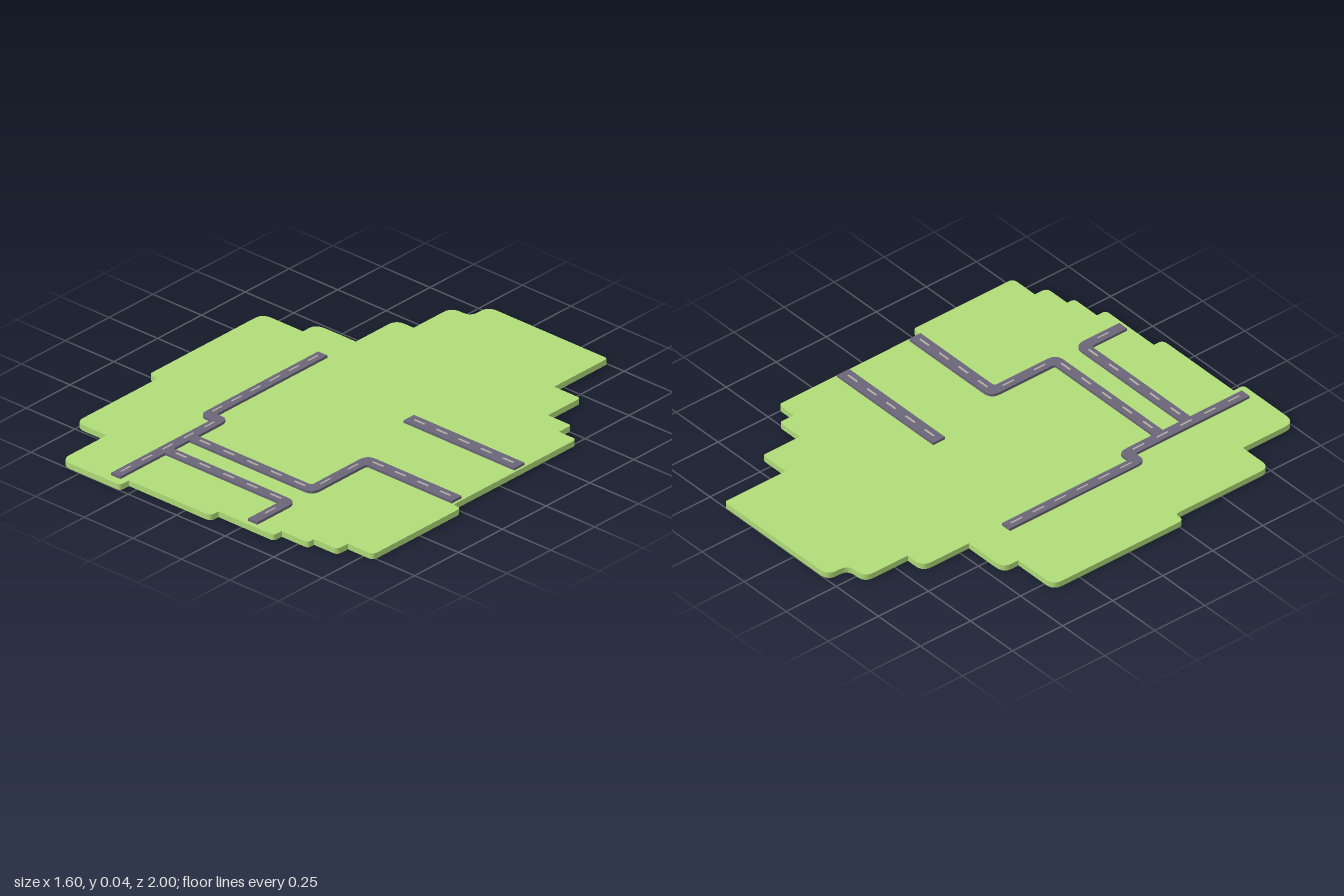
import * as THREE from 'three';

const grass = new THREE.MeshStandardMaterial({ color: 0xb0dc78 });
const asphalt = new THREE.MeshStandardMaterial({ color: 0x6b6579 });
const paint = new THREE.MeshStandardMaterial({ color: 0xb5afa8 });

// Closed outline in x/z from [x, z, cornerRadius] points
function roundedOutline(points) {
  const shape = new THREE.Shape();
  const n = points.length;
  const at = (i) => new THREE.Vector2(points[(i + n) % n][0], points[(i + n) % n][1]);
  for (let i = 0; i < n; i++) {
    const p = at(i), before = at(i - 1), after = at(i + 1), r = points[i][2];
    const cut = (q) => p.clone().lerp(q, Math.min(0.49, r / p.distanceTo(q)));
    const a = cut(before), b = cut(after);
    if (i === 0) shape.moveTo(a.x, a.y); else shape.lineTo(a.x, a.y);
    if (r > 0) shape.quadraticCurveTo(p.x, p.y, b.x, b.y);
  }
  shape.closePath();
  return shape;
}

// Flat slab between two heights
function slab(points, bottom, top, material, name) {
  const geo = new THREE.ExtrudeGeometry(roundedOutline(points), { depth: top - bottom, bevelEnabled: false, curveSegments: 6 });
  geo.rotateX(Math.PI / 2).translate(0, top, 0);
  const mesh = new THREE.Mesh(geo, material);
  mesh.name = name;
  return mesh;
}

// Road along a polyline of [x, z], with dashed centre line; widths per segment
function road(name, path, widths, top) {
  const group = new THREE.Group();
  group.name = name;
  const pts = path.map((p) => new THREE.Vector2(...p));
  const dirs = pts.slice(1).map((p, i) => p.clone().sub(pts[i]).normalize());
  const side = (s) => pts.map((p, i) => {
    const a = Math.max(0, i - 1), b = Math.min(dirs.length - 1, i);
    const q = p.clone();
    const shift = (k) => q.add(new THREE.Vector2(-dirs[k].y, dirs[k].x).multiplyScalar(s * widths[k] / 2));
    shift(a);
    if (b !== a) shift(b);
    const turn = a === b ? 0 : dirs[a].cross(dirs[b]);
    return [q.x, q.y, turn === 0 ? 0 : turn * s < 0 ? 0.045 : 0.012];
  });
  group.add(slab([...side(1), ...side(-1).reverse()], 0.022, top, asphalt, name + 'Surface'));

  dirs.forEach((d, i) => {
    const length = pts[i].distanceTo(pts[i + 1]);
    const count = Math.floor(length / 0.105);
    for (let k = 0; k < count; k++) {
      const c = pts[i].clone().addScaledVector(d, (k + 0.5) * length / count);
      const dash = new THREE.Mesh(new THREE.BoxGeometry(0.055, 0.004, 0.007), paint);
      dash.position.set(c.x, top + 0.001, c.y);
      dash.rotation.y = -Math.atan2(d.y, d.x);
      dash.name = 'laneDash';
      group.add(dash);
    }
  });
  return group;
}

export function createModel() {
  const model = new THREE.Group();
  model.name = 'roadTile';

  // Stepped grass plate, clockwise from the back edge
  model.add(slab([
    [-0.2, -1, 0.045], [0.415, -1, 0.015], [0.415, -0.695, 0], [0.55, -0.695, 0.015],
    [0.55, -0.51, 0], [0.67, -0.51, 0.015], [0.67, -0.44, 0], [0.76, -0.44, 0.02],
    [0.76, 0.265, 0.015], [0.8, 0.265, 0.02], [0.8, 0.765, 0.025], [0.67, 0.765, 0],
    [0.67, 0.825, 0.025], [0.55, 0.825, 0], [0.55, 0.86, 0.02], [0.415, 0.86, 0],
    [0.415, 0.905, 0.02], [0.13, 0.905, 0], [0.13, 0.95, 0.03], [-0.29, 0.95, 0],
    [-0.29, 1, 0.02], [-0.595, 1, 0.05], [-0.595, 0.74, 0], [-0.755, 0.74, 0.045],
    [-0.755, 0.27, 0.015], [-0.803, 0.27, 0.025], [-0.803, -0.38, 0.045], [-0.595, -0.38, 0],
    [-0.595, -0.455, 0.05], [-0.39, -0.455, 0], [-0.39, -0.685, 0.045], [-0.3, -0.685, 0],
    [-0.3, -0.9, 0.045], [-0.2, -0.9, 0.04],
  ], 0, 0.025, grass, 'grassBase'));

  // Roads
  const w = 0.047;
  model.add(
    road('mainRoad', [[-0.407, -0.285], [-0.407, 0.37], [-0.345, 0.37], [-0.345, 0.965]], [w, w, w], 0.036),
    road('upperBranch', [[-0.322, 0.547], [0.288, 0.547], [0.288, 0.233], [0.75, 0.233]], [w, w, 0.056], 0.036),
    road('lowerBranch', [[-0.322, 0.684], [0.288, 0.684], [0.288, 0.885]], [w, w], 0.036),
    road('sideRoad', [[0.18, -0.125], [0.75, -0.125]], [0.06], 0.035),
  );
  return model;
}
